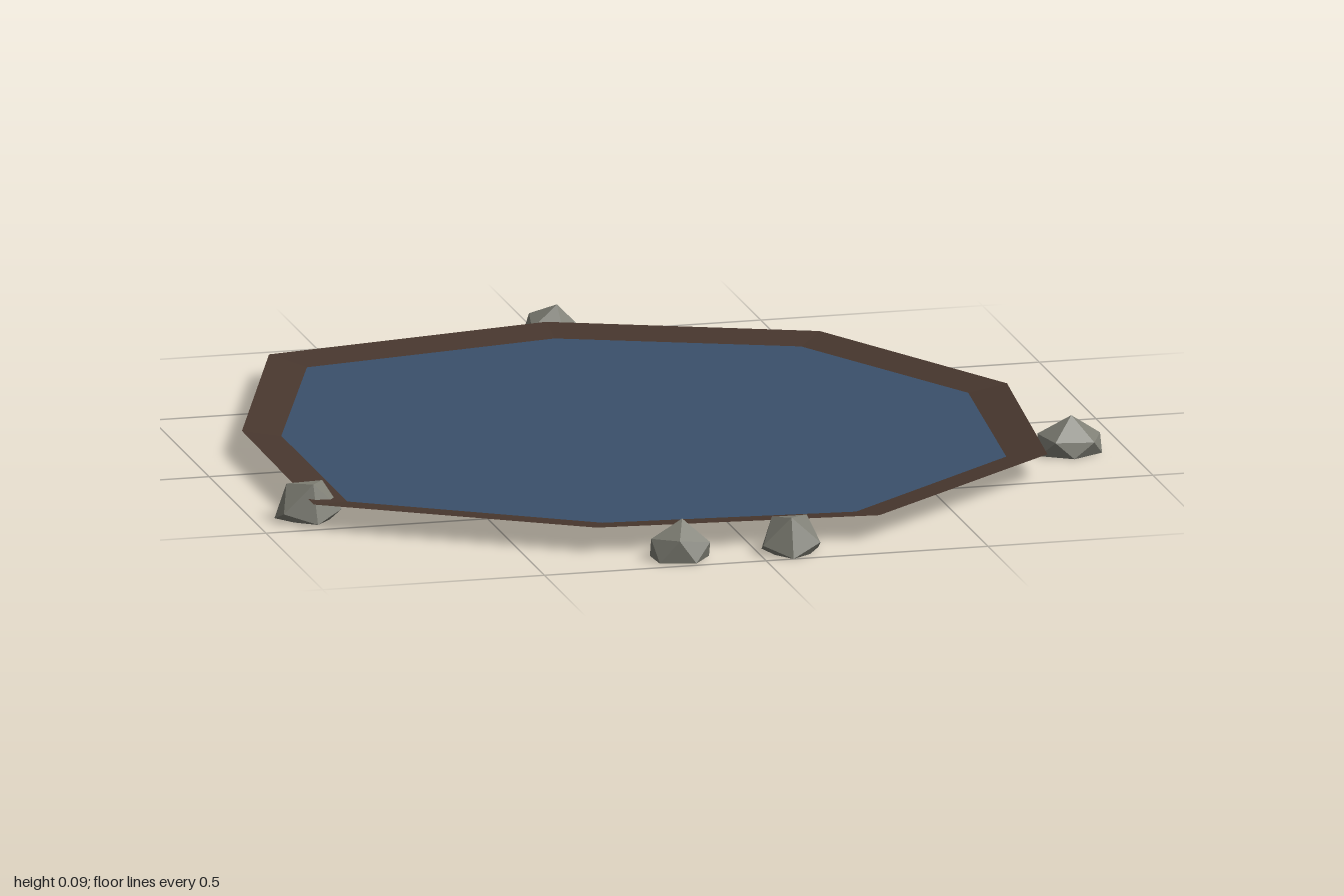
import * as THREE from 'three';
import { ConvexGeometry } from 'three/addons/geometries/ConvexGeometry.js';

const water = new THREE.MeshStandardMaterial({ color: 0x3a506b, side: THREE.DoubleSide, flatShading: true });
const mud = new THREE.MeshStandardMaterial({ color: 0x48372e, side: THREE.DoubleSide, flatShading: true });
const stone = new THREE.MeshStandardMaterial({ color: 0x7f7f75, flatShading: true });
water.name = 'water';
mud.name = 'mud';
stone.name = 'stone';

// Shoreline corners [x, z], outer rim and water edge
const outer = [[-0.665, -0.78], [-0.01, -0.9], [0.55, -0.675], [0.835, -0.14], [0.77, 0.47],
  [0.285, 0.885], [-0.34, 0.835], [-0.89, 0.49], [-0.885, -0.16]];
const inner = [[-0.6, -0.7], [-0.015, -0.805], [0.49, -0.605], [0.745, -0.13], [0.69, 0.42],
  [0.255, 0.795], [-0.305, 0.75], [-0.8, 0.435], [-0.8, -0.145]];
const centre = inner.map(() => [-0.03, 0]);

// Sloping band between two rings, facing up
function band(a, ya, b, yb) {
  const pos = [];
  const n = a.length;
  for (let i = 0; i < n; i++) {
    const j = (i + 1) % n;
    const p = [a[i][0], ya, a[i][1]], q = [a[j][0], ya, a[j][1]];
    const r = [b[i][0], yb, b[i][1]], s = [b[j][0], yb, b[j][1]];
    pos.push(...p, ...r, ...q);
    if (b !== centre) pos.push(...q, ...r, ...s);
  }
  const geo = new THREE.BufferGeometry();
  geo.setAttribute('position', new THREE.Float32BufferAttribute(pos, 3));
  geo.computeVertexNormals();
  return geo;
}

// Tilted icosahedron flattened on the ground, fitted to a footprint
function rockGeometry(tilt, x0, x1, z0, z1) {
  const ico = new THREE.IcosahedronGeometry(1, 0);
  ico.applyMatrix4(new THREE.Matrix4().makeRotationFromEuler(new THREE.Euler(...tilt)));
  const p = ico.attributes.position;
  const unique = new Map();
  for (let i = 0; i < p.count; i++) {
    const v = new THREE.Vector3(p.getX(i), Math.max(0, p.getY(i)), p.getZ(i));
    unique.set(v.toArray().map((c) => Math.round(c * 1000)).join(), v);
  }
  const pts = [...unique.values()];
  const box = new THREE.Box3().setFromPoints(pts);
  const size = box.getSize(new THREE.Vector3());
  for (const v of pts) {
    v.sub(box.min).divide(size);
    v.set(x0 + v.x * (x1 - x0), v.y * 0.085, z0 + v.z * (z1 - z0));
  }
  return new ConvexGeometry(pts);
}

export function createModel() {
  const model = new THREE.Group();
  model.name = 'pond';
  const add = (name, geo, mat) => {
    const mesh = new THREE.Mesh(geo, mat);
    mesh.name = name;
    model.add(mesh);
  };

  add('muddyBank', band(outer, 0.055, inner, 0.042), mud);
  add('waterSurface', band(inner, 0.042, centre, 0.034), water);

  // Rocks: tilt, then footprint in x and z
  const rocks = [
    ['backRock', [0.3, 0.5, 0.4], -0.055, 0.08, -1, -0.885],
    ['leftRock', [0.1, 0.9, 0.5], 0.8, 0.945, 0.205, 0.325],
    ['frontLeftRock', [0.5, 0.2, 0.65], 0.005, 0.14, 0.87, 1],
    ['frontRightRock', [0.2, 1.3, 0.2], -0.24, -0.11, 0.865, 0.985],
    ['rightRock', [0.6, 0.4, 0.5], -0.95, -0.81, 0.345, 0.46],
  ];
  for (const [name, tilt, ...footprint] of rocks) add(name, rockGeometry(tilt, ...footprint), stone);
  return model;
}
